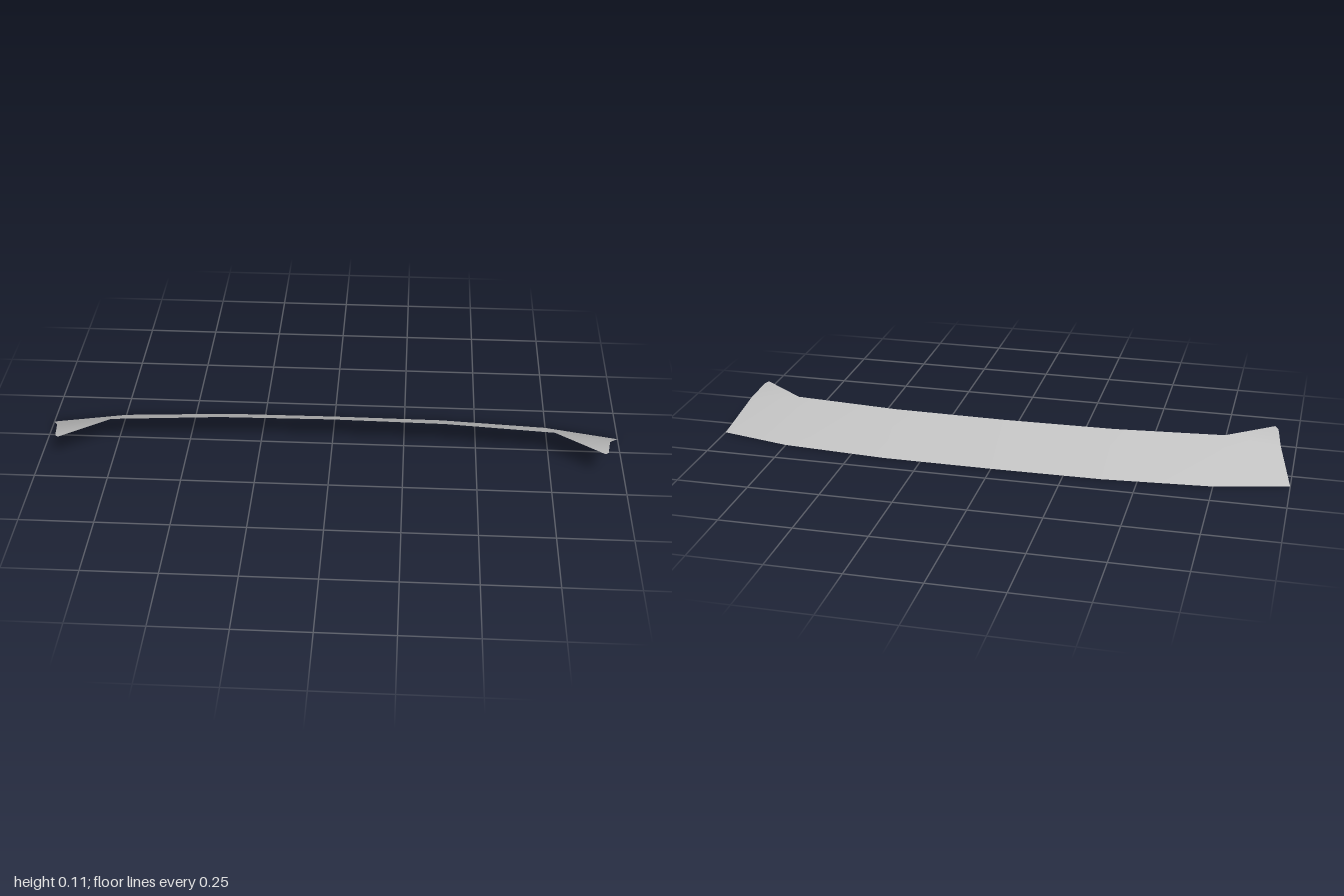
import * as THREE from 'three';

// Right half of each column: rear lower edge and front upper edge points
const lower = [[0, 0, -0.172], [0.38, 0, -0.169], [0.75, 0, -0.141], [1, 0, -0.083]];
const upper = [[0, 0.107, 0.01], [0.39, 0.107, 0.017], [0.765, 0.107, 0.05], [0.953, 0.083, 0.06]];
// Rounded end of the corner that sweeps forward
const tip = [[0.938, 0.103, 0.155], [0.926, 0.107, 0.17]];

const flip = ([x, y, z]) => [-x, y, z];
const mirrored = (row) => [...row.slice(1).reverse().map(flip), ...row];

function curvedPane() {
  const back = mirrored(lower), front = mirrored(upper);
  const n = back.length;
  const points = [...back, ...front, ...tip, ...tip.map(flip)];
  const index = [];

  // Sheet between the two edges
  for (let i = 0; i < n - 1; i++) {
    index.push(i, n + i, i + 1, i + 1, n + i, n + i + 1);
  }

  // Swept corners, one at each end
  const t = 2 * n;
  const inner = 2 * n - 2, side = 2 * n - 1;
  index.push(inner, t + 1, t, inner, t, side);
  index.push(n + 1, t + 2, t + 3, n + 1, n, t + 2);

  const geometry = new THREE.BufferGeometry();
  geometry.setAttribute('position', new THREE.Float32BufferAttribute(points.flat(), 3));
  geometry.setIndex(index);
  geometry.computeVertexNormals();
  return geometry;
}

export function createModel() {
  const group = new THREE.Group();
  group.name = 'windscreen';

  const glass = new THREE.MeshStandardMaterial({ color: 0xbfbfbf, side: THREE.DoubleSide });
  glass.name = 'pale grey glass';

  const pane = new THREE.Mesh(curvedPane(), glass);
  pane.name = 'curvedPane';
  group.add(pane);
  return group;
}
